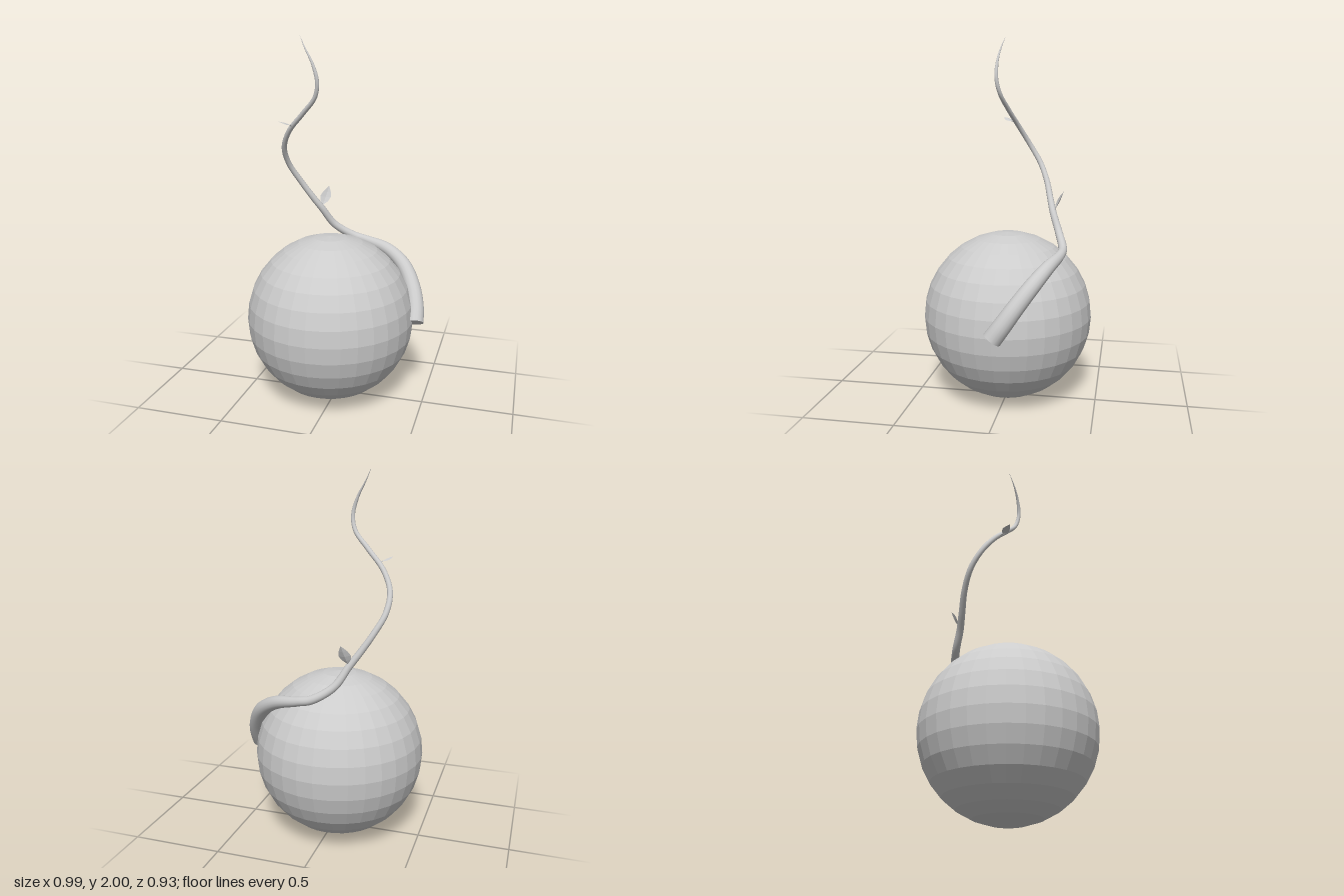
import * as THREE from 'three';

const V = (x, y, z) => new THREE.Vector3(x, y, z);

// Piecewise-linear lookup in [position, value] pairs
function sample(table, u) {
  for (let i = 1; i < table.length; i++) {
    const [a, ra] = table[i - 1], [b, rb] = table[i];
    if (u <= b) return THREE.MathUtils.mapLinear(u, a, b, ra, rb);
  }
  return table[table.length - 1][1];
}

// Tube along a curve whose radius follows a table
function taperedTube(curve, radii, segments, sides) {
  const geo = new THREE.TubeGeometry(curve, segments, 1, sides, false);
  const pos = geo.attributes.position;
  const p = V(0, 0, 0), c = V(0, 0, 0);
  for (let i = 0; i < pos.count; i++) {
    const u = Math.floor(i / (sides + 1)) / segments;
    curve.getPointAt(u, c);
    p.fromBufferAttribute(pos, i).sub(c).multiplyScalar(sample(radii, u)).add(c);
    pos.setXYZ(i, p.x, p.y, p.z);
  }
  return geo;
}

// Cupped leaf blade: a row of left, middle and right points from base to tip
function leafBlade(base, tip, across, width) {
  const along = tip.clone().sub(base);
  const side = across.clone().normalize();
  const normal = side.clone().cross(along).normalize();
  const profile = [[0, 0.08], [0.2, 0.75], [0.42, 1], [0.68, 0.72], [0.88, 0.28], [1, 0]];
  const points = [], index = [];
  profile.forEach(([t, w], row) => {
    for (const s of [-1, 0, 1]) {
      const p = base.clone().addScaledVector(along, t)
        .addScaledVector(side, s * w * width / 2)
        .addScaledVector(normal, (s ? 1 : -1) * w * width * 0.08);
      points.push(p.x, p.y, p.z);
    }
    if (row === 0) return;
    for (const k of [0, 1]) {
      const a = (row - 1) * 3 + k, b = a + 3;
      index.push(a, a + 1, b + 1, a, b + 1, b);
    }
  });
  const geo = new THREE.BufferGeometry();
  geo.setAttribute('position', new THREE.Float32BufferAttribute(points, 3));
  geo.setIndex(index);
  geo.computeVertexNormals();
  return geo;
}

export function createModel() {
  const model = new THREE.Group();
  const smooth = new THREE.MeshStandardMaterial({ color: 0xcccccc });
  const faceted = new THREE.MeshStandardMaterial({ color: 0xcccccc, flatShading: true });
  const thin = new THREE.MeshStandardMaterial({ color: 0xcccccc, flatShading: true, side: THREE.DoubleSide });

  const add = (name, geo, mat, parent = model) => {
    const mesh = new THREE.Mesh(geo, mat);
    mesh.name = name;
    parent.add(mesh);
    return mesh;
  };

  // Faceted ball
  add('ball', new THREE.SphereGeometry(0.466, 32, 16), faceted).position.set(-0.034, 0.47, 0);

  // Vine creeping round the ball, then winding upwards
  const vine = new THREE.Group();
  vine.name = 'vine';
  model.add(vine);
  const path = new THREE.CatmullRomCurve3([
    V(0.445, 0.475, -0.005), V(0.438, 0.545, -0.055), V(0.412, 0.63, -0.115),
    V(0.345, 0.735, -0.195), V(0.24, 0.805, -0.258), V(0.1, 0.84, -0.304),
    V(0.02, 0.86, -0.31), V(-0.09, 0.93, -0.277), V(-0.155, 1.03, -0.237),
    V(-0.205, 1.1, -0.215), V(-0.27, 1.2, -0.185), V(-0.32, 1.3, -0.14),
    V(-0.325, 1.4, -0.08), V(-0.275, 1.5, -0.025), V(-0.18, 1.6, 0.022),
    V(-0.1, 1.69, 0.057), V(-0.083, 1.77, 0.073), V(-0.108, 1.86, 0.072),
    V(-0.15, 1.935, 0.06), V(-0.185, 2, 0.04),
  ]);
  const radii = [[0, 0.05], [0.16, 0.042], [0.23, 0.035], [0.3, 0.025], [0.4, 0.021],
    [0.56, 0.016], [0.8, 0.013], [0.9, 0.01], [1, 0.0005]];
  add('vineStem', taperedTube(path, radii, 160, 16), smooth, vine);

  // Cut end of the vine
  const cut = add('vineCutEnd', new THREE.CircleGeometry(0.05, 16), smooth, vine);
  const start = path.getPointAt(0);
  cut.position.copy(start);
  cut.lookAt(start.clone().sub(path.getTangentAt(0)));

  // Leaves on short stalks
  const leaves = [
    { name: 'lowerLeaf', root: V(-0.155, 1.03, -0.237), base: V(-0.153, 1.05, -0.247),
      tip: V(-0.13, 1.153, -0.298), across: V(0.95, -0.1, -0.2), width: 0.062 },
    { name: 'upperLeaf', root: V(-0.25, 1.527, -0.012), base: V(-0.256, 1.538, 0.018),
      tip: V(-0.303, 1.56, 0.07), across: V(0.75, -0.1, 0.66), width: 0.042 },
  ];
  for (const { name, root, base, tip, across, width } of leaves) {
    const leaf = new THREE.Group();
    leaf.name = name;
    vine.add(leaf);
    add(name + 'Stalk', new THREE.TubeGeometry(new THREE.LineCurve3(root, base), 1, 0.004, 6), smooth, leaf);
    add(name + 'Blade', leafBlade(base, tip, across, width), thin, leaf);
  }
  return model;
}
